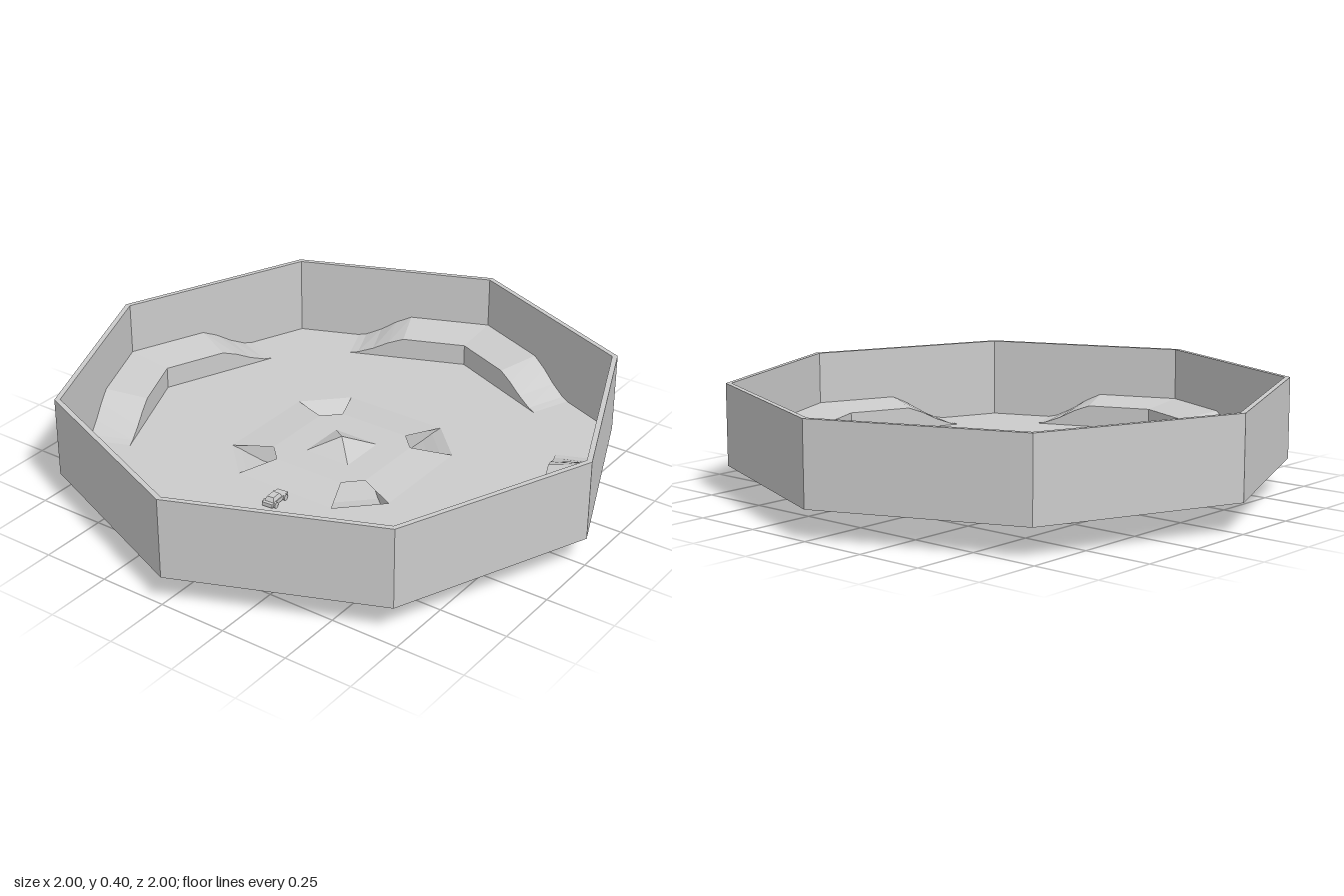
import * as THREE from 'three';

const FLOOR = 0.105;
const mat = new THREE.MeshStandardMaterial({ color: 0xcccccc, flatShading: true, side: THREE.DoubleSide });

// Surface lofted through rows of [x, y, z] points
function loft(rows) {
  const n = rows[0].length, index = [];
  for (let i = 0; i < rows.length - 1; i++)
    for (let j = 0; j < n - 1; j++) {
      const a = i * n + j, b = a + n;
      index.push(a, b, a + 1, b, b + 1, a + 1);
    }
  const g = new THREE.BufferGeometry();
  g.setAttribute('position', new THREE.Float32BufferAttribute(rows.flat(2), 3));
  g.setIndex(index);
  g.computeVertexNormals();
  return g;
}

function octagon(r) {
  return Array.from({ length: 8 }, (_, i) =>
    new THREE.Vector2(r * Math.cos(i * Math.PI / 4), r * Math.sin(i * Math.PI / 4)));
}

// Octagon with four long axis sides (a, +-b) and four diagonal sides
function cutSquare(a, b) {
  return [[a, -b], [a, b], [b, a], [-b, a], [-a, b], [-a, -b], [-b, -a], [b, -a]]
    .map(([x, y]) => new THREE.Vector2(x, y));
}

export function createModel() {
  const model = new THREE.Group();
  function add(name, geometry, parent = model) {
    const mesh = new THREE.Mesh(geometry, mat);
    mesh.name = name;
    parent.add(mesh);
    return mesh;
  }

  // Perimeter wall
  const ring = new THREE.Shape(octagon(1));
  ring.holes.push(new THREE.Path(octagon(0.98)));
  const wall = new THREE.ExtrudeGeometry(ring, { depth: 0.4 - FLOOR, bevelEnabled: false });
  add('perimeterWall', wall.rotateX(-Math.PI / 2).translate(0, FLOOR, 0));

  // Arena floor, open around the centre
  const floor = new THREE.Shape(octagon(0.985));
  floor.holes.push(new THREE.Path(cutSquare(0.34, 0.2)));
  add('floor', new THREE.ShapeGeometry(floor).rotateX(-Math.PI / 2).translate(0, FLOOR, 0));

  // Slightly raised centre bridge with a low pyramid
  const top = FLOOR + 0.012;
  const plate = new THREE.ShapeGeometry(new THREE.Shape(cutSquare(0.2, 0.14)));
  add('bridgeDeck', plate.rotateX(-Math.PI / 2).translate(0, top, 0));
  const pyramid = new THREE.ConeGeometry(0.09 * Math.SQRT2, 0.045, 4, 1, true).rotateY(Math.PI / 4);
  add('centrePyramid', pyramid.translate(0, top + 0.0225, 0));

  // Bridge slopes and corner ledges, one per quarter turn
  const ledgeSteps = [[0, 1], [0.24, 1], [0.3, 0.72], [0.36, 0.34], [0.42, 0.06], [0.45, 0]];
  const ex = Math.cos(Math.PI / 8), ez = Math.sin(Math.PI / 8);
  for (let k = 0; k < 4; k++) {
    const quarter = new THREE.Group();
    quarter.name = 'quarter' + (k + 1);
    quarter.rotation.y = k * Math.PI / 2;
    model.add(quarter);
    add('bridgeSlope', loft([
      [[0.34, FLOOR, -0.2], [0.34, FLOOR, 0.2]],
      [[0.2, top, -0.14], [0.2, top, 0.14]],
    ]), quarter);
    for (const side of [-1, 1]) {
      const rows = ledgeSteps.map(([s, h]) => {
        const t = s ? s + 0.065 : 0;
        const inner = [side * s * ex, 0.81 - s * ez], outer = [side * t * ex, 0.98 - t * ez];
        return [
          [inner[0], FLOOR, inner[1]],
          [inner[0], FLOOR + 0.08 * h + 0.001, inner[1]],
          [outer[0], FLOOR + 0.1 * h + 0.001, outer[1]],
        ];
      });
      add('wallLedge', loft(rows), quarter);
    }
  }

  // Crossing underpass channels along the diagonals
  const half = 0.1;
  const profile = [[0.1, 0], [0.18, 0], [0.225, 0.008], [0.27, 0.027], [0.315, 0.058], [0.35, 0.084], [0.382, FLOOR]];
  add('underpassCrossing', new THREE.PlaneGeometry(2 * half, 2 * half).rotateX(-Math.PI / 2).rotateY(Math.PI / 4));
  for (let k = 0; k < 4; k++) {
    const arm = new THREE.Group();
    arm.name = 'underpassArm' + (k + 1);
    arm.rotation.y = Math.PI / 4 + k * Math.PI / 2;
    model.add(arm);
    add('ramp', loft(profile.map(([d, y]) => [[d, y, -half], [d, y, half]])), arm);
    for (const z of [-half, half])
      add('channelSide', loft(profile.map(([d, y]) => {
        const rim = Math.min(FLOOR, 0.075 + 0.03 * ((d - 0.1) / 0.21) ** 2);
        return [[d, y, z], [d, Math.max(y, rim), z]];
      })), arm);
  }

  // Small car
  const car = new THREE.Group();
  car.name = 'car';
  car.position.set(-0.42, FLOOR, 0.02);
  car.rotation.y = 0.08;
  model.add(car);
  add('carBody', new THREE.BoxGeometry(0.1, 0.014, 0.042).translate(0, 0.015, 0), car);
  const cabin = new THREE.CylinderGeometry(0.022, 0.032, 0.014, 4).rotateY(Math.PI / 4).scale(1.2, 1, 0.8);
  add('carCabin', cabin.translate(-0.01, 0.029, 0), car);
  for (const x of [-0.03, 0.03])
    for (const z of [-0.02, 0.02])
      add('wheel', new THREE.CylinderGeometry(0.011, 0.011, 0.012, 10).rotateX(Math.PI / 2).translate(x, 0.011, z), car);

  return model;
}
